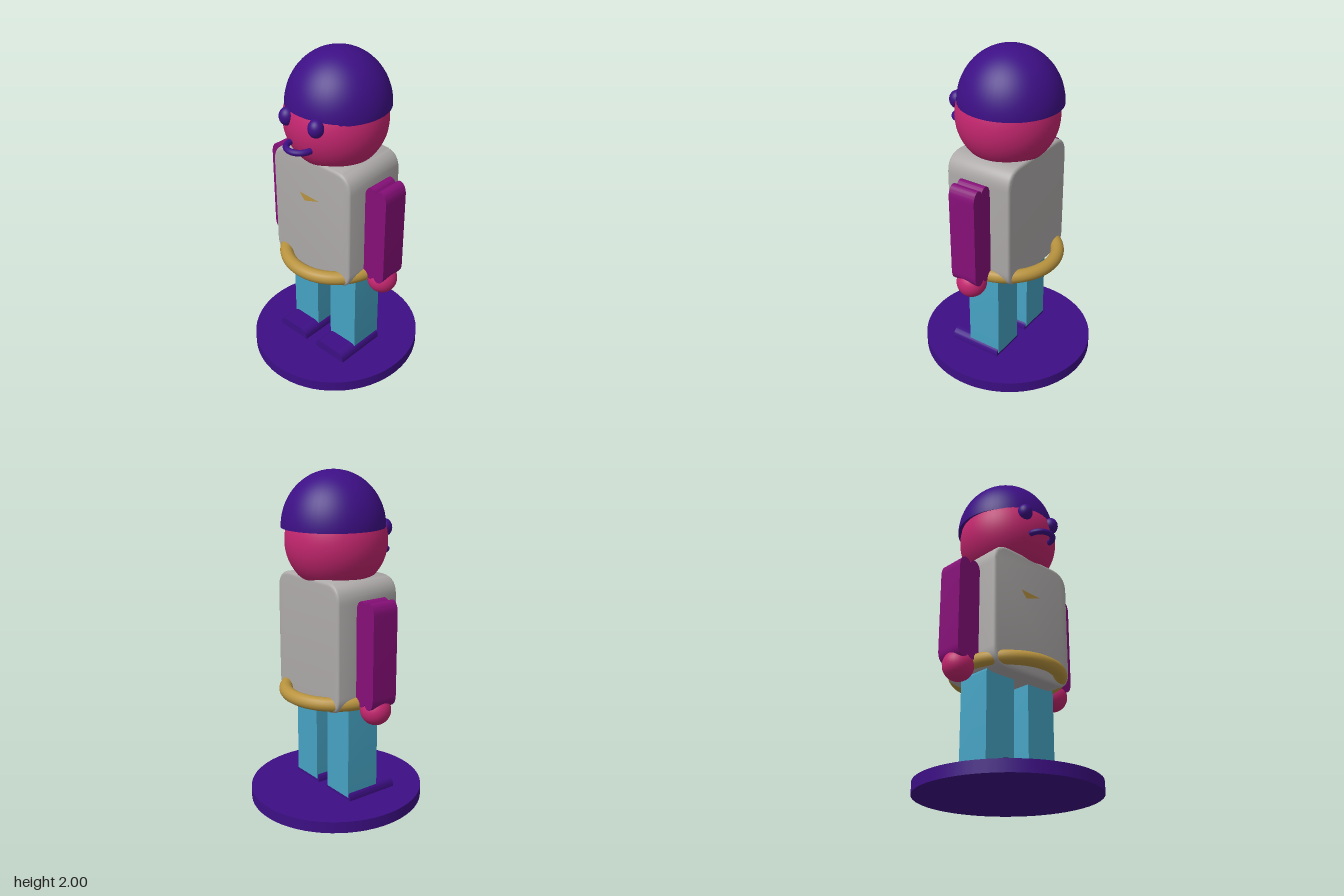
import * as THREE from 'three';
import { toCreasedNormals } from 'three/addons/utils/BufferGeometryUtils.js';

const mat = (name, color) => {
  const m = new THREE.MeshStandardMaterial({ color });
  m.name = name;
  return m;
};

// Rounded rectangle outline, with separate radii for bottom and top corners
function roundedRect(x0, x1, y0, y1, rb, rt) {
  const s = new THREE.Shape();
  s.moveTo(x0 + rb, y0);
  s.lineTo(x1 - rb, y0);
  if (rb) s.quadraticCurveTo(x1, y0, x1, y0 + rb);
  s.lineTo(x1, y1 - rt);
  if (rt) s.quadraticCurveTo(x1, y1, x1 - rt, y1);
  s.lineTo(x0 + rt, y1);
  if (rt) s.quadraticCurveTo(x0, y1, x0, y1 - rt);
  s.lineTo(x0, y0 + rb);
  if (rb) s.quadraticCurveTo(x0, y0, x0 + rb, y0);
  return s;
}

// Extrude an outline between two z positions, smooth around curves
function slab(shape, z0, z1, bevel = 0) {
  const g = new THREE.ExtrudeGeometry(shape, {
    depth: z1 - z0 - 2 * bevel, curveSegments: 12,
    bevelEnabled: bevel > 0, bevelSize: bevel, bevelThickness: bevel,
    bevelOffset: -bevel, bevelSegments: 4,
  });
  g.translate(0, 0, z0 + bevel);
  return toCreasedNormals(g, 0.6);
}

// Sleeve outline: two rounded lobes with a notch at both ends
function armOutline() {
  const x0 = -0.075, x1 = 0.075, y0 = 0.69, y1 = 1.31;
  const s = new THREE.Shape();
  s.moveTo(x0, y0 + 0.07);
  s.bezierCurveTo(x0, y0 + 0.02, -0.05, y0, -0.035, y0);
  s.quadraticCurveTo(-0.012, y0, 0, y0 + 0.025);
  s.quadraticCurveTo(0.012, y0, 0.035, y0);
  s.bezierCurveTo(0.05, y0, x1, y0 + 0.02, x1, y0 + 0.07);
  s.lineTo(x1, y1 - 0.07);
  s.bezierCurveTo(x1, y1 - 0.02, 0.05, y1, 0.035, y1);
  s.quadraticCurveTo(0.012, y1, 0, y1 - 0.025);
  s.quadraticCurveTo(-0.012, y1, -0.035, y1);
  s.bezierCurveTo(-0.05, y1, x0, y1 - 0.02, x0, y1 - 0.07);
  s.lineTo(x0, y0 + 0.07);
  return s;
}

export function createModel() {
  const purple = mat('purple', 0x3d0f85);
  const pink = mat('pink', 0xc4266f);
  const plum = mat('plum', 0x860f78);
  const grey = mat('grey', 0xaeaaaa);
  const blue = mat('blue', 0x46a2c2);
  const gold = mat('gold', 0xb8933f);

  const model = new THREE.Group();
  model.name = 'figurine';
  const add = (name, geo, material, x = 0, y = 0, z = 0) => {
    const m = new THREE.Mesh(geo, material);
    m.name = name;
    m.position.set(x, y, z);
    model.add(m);
    return m;
  };

  // Round stand, slightly deeper than wide
  add('stand', new THREE.CylinderGeometry(0.523, 0.523, 0.07, 64), purple, 0, 0.035, 0).scale.z = 1.022;

  // Body and belt ring
  add('torso', slab(roundedRect(-0.303, 0.303, 0.64, 1.408, 0.11, 0.12), -0.212, 0.212, 0.02), grey);
  add('belt', new THREE.TorusGeometry(0.306, 0.041, 16, 64).rotateX(Math.PI / 2), gold, 0, 0.698, 0);

  // Small thin chest badge
  const badge = new THREE.Shape([[-0.09, 1.165], [-0.05, 1.12], [0.065, 1.16]].map(p => new THREE.Vector2(...p)));
  add('chestBadge', new THREE.ShapeGeometry(badge), gold, 0, 0, 0.213);

  // Head with a domed cap set slightly back
  add('head', new THREE.SphereGeometry(0.3, 48, 32), pink, 0, 1.6, 0);
  const dome = new THREE.SphereGeometry(1, 48, 20, 0, Math.PI * 2, 0, Math.PI / 2);
  add('cap', dome, purple, 0, 1.678, -0.02).scale.set(0.3, 0.322, 0.304);
  const underside = new THREE.CircleGeometry(1, 48).rotateX(Math.PI / 2);
  add('capUnderside', underside, purple, 0, 1.678, -0.02).scale.set(0.3, 1, 0.304);

  // Mouth: half ring lying flat, bulging forward
  add('mouth', new THREE.TorusGeometry(0.077, 0.018, 12, 32, Math.PI).rotateX(Math.PI / 2), purple, 0, 1.52, 0.283);

  // Mirrored parts
  for (const [side, s] of [['left', 1], ['right', -1]]) {
    add(side + 'Eye', new THREE.SphereGeometry(1, 24, 16), purple, s * 0.11, 1.66, 0.27).scale.set(0.046, 0.053, 0.046);
    add(side + 'Arm', slab(armOutline(), -0.085, 0.085), plum, s * 0.377, 0, 0);
    add(side + 'Hand', new THREE.SphereGeometry(0.09, 32, 20), pink, s * 0.376, 0.667, 0);
    add(side + 'Leg', slab(roundedRect(-0.103, 0.103, 0.09, 0.665, 0, 0.03), -0.108, 0.11), blue, s * 0.159, 0, 0);
    add(side + 'Shoe', slab(roundedRect(-0.117, 0.117, 0.05, 0.13, 0, 0.055), -0.103, 0.235), purple, s * 0.159, 0, 0);
  }
  return model;
}
